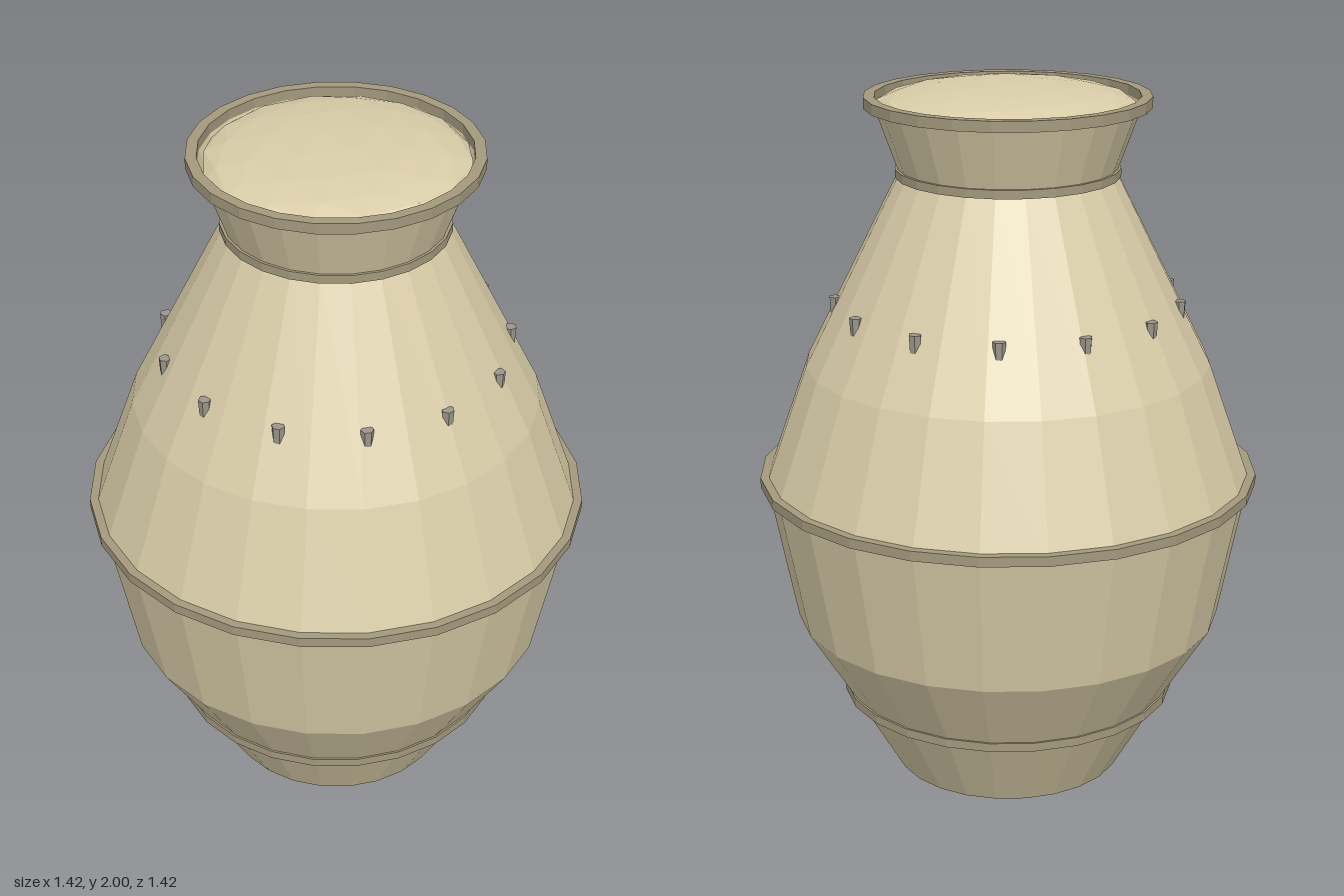
import * as THREE from 'three';

const SIDES = 24;

export function createModel() {
  const group = new THREE.Group();
  group.name = 'vase';

  const clay = new THREE.MeshStandardMaterial({ color: 0xd9cda8, flatShading: true, side: THREE.DoubleSide });
  clay.name = 'pale clay';
  const trim = new THREE.MeshStandardMaterial({ color: 0xa3997d, flatShading: true });
  trim.name = 'dull trim';
  const stud = new THREE.MeshStandardMaterial({ color: 0x9c978d, flatShading: true });
  stud.name = 'grey stud';

  function add(name, geometry, material) {
    const mesh = new THREE.Mesh(geometry, material);
    mesh.name = name;
    group.add(mesh);
    return mesh;
  }
  const lathe = (points) =>
    new THREE.LatheGeometry(points.map(([r, y]) => new THREE.Vector2(r, y)), SIDES);

  // Open-ended wall of the pot, from foot to flared neck
  add('body', lathe([
    [0.33, 0], [0.465, 0.235], [0.61, 0.47], [0.69, 0.88],
    [0.57, 1.22], [0.3, 1.76], [0.37, 1.955],
  ]), clay);

  // Rectangular hoops: name, inner radius, outer radius, bottom, top
  const bands = [
    ['footBand', 0.445, 0.48, 0.225, 0.25],
    ['bellyBand', 0.67, 0.708, 0.87, 0.898],
    ['neckBand', 0.285, 0.312, 1.748, 1.772],
    ['rimBand', 0.365, 0.395, 1.94, 1.97],
  ];
  for (const [name, rin, rout, y0, y1] of bands) {
    add(name, lathe([[rin, y0], [rout, y0], [rout, y1], [rin, y1], [rin, y0]]), trim);
  }

  // Flattened dome filling the mouth
  const dome = new THREE.IcosahedronGeometry(0.36, 2);
  dome.scale(1, 0.17, 1);
  dome.computeBoundingBox();
  dome.translate(0.008, 2 - dome.boundingBox.max.y, 0);
  add('mouthFilling', dome, clay);

  // Thirteen small studs half sunk into the shoulder
  const studs = 13;
  for (let i = 0; i < studs; i++) {
    const a = (i / studs) * Math.PI * 2;
    const peg = add('shoulderStud', new THREE.CylinderGeometry(0.018, 0.014, 0.07, 6), stud);
    peg.position.set(Math.cos(a) * 0.482, 1.375, Math.sin(a) * 0.482);
    peg.rotation.y = -a;
  }

  return group;
}
